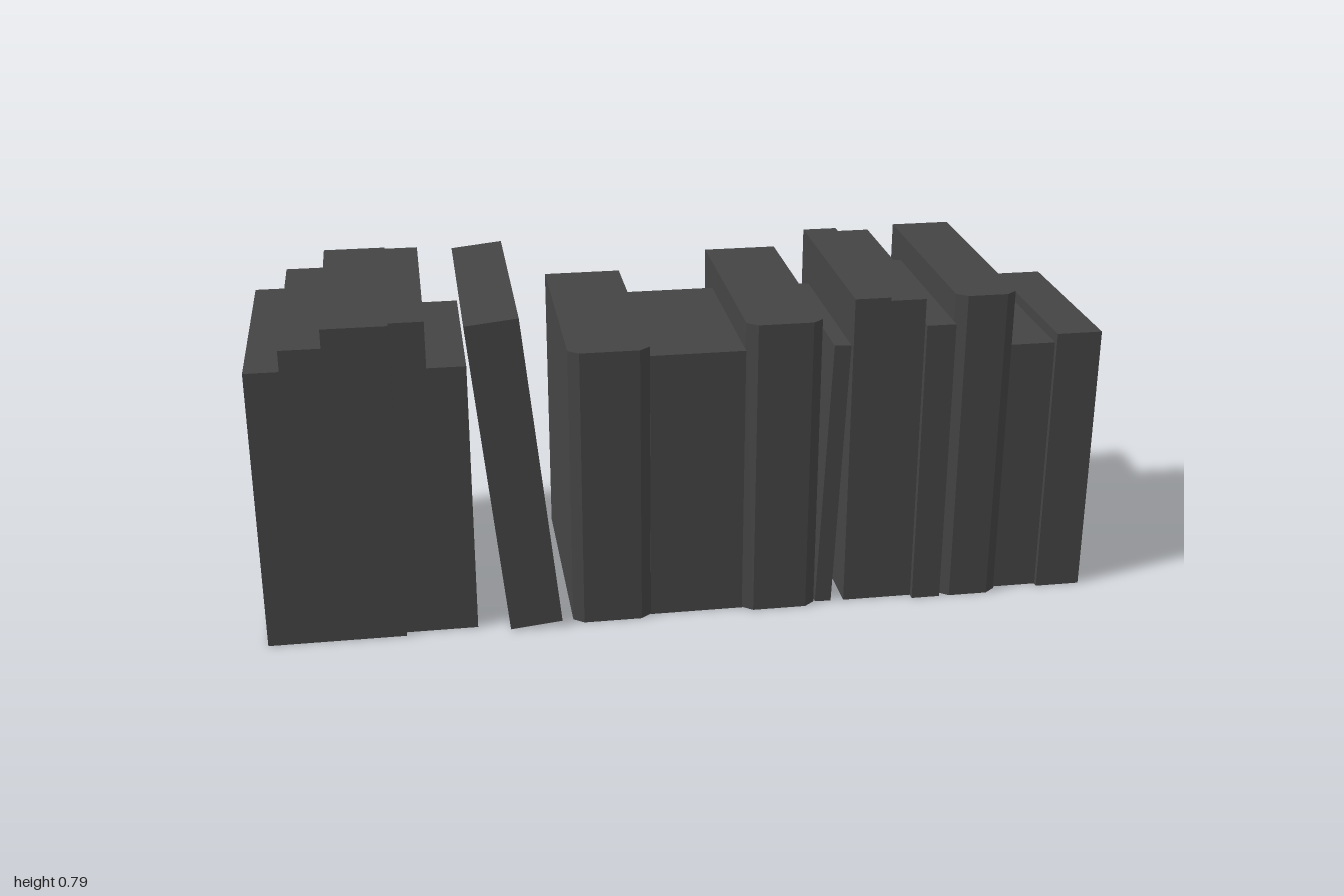
import * as THREE from 'three';

// Upright books: [left x, right x, height, back z, front z, bevelled spine]
const UPRIGHT = [
  [-1, -0.92, 0.69, -0.295, 0.285],
  [-0.92, -0.825, 0.74, -0.295, 0.285],
  [-0.825, -0.675, 0.785, -0.295, 0.285],
  [-0.675, -0.595, 0.785, -0.285, 0.268],
  [-0.595, -0.505, 0.673, -0.187, 0.268],
  [-0.275, -0.085, 0.695, -0.295, 0.285, true],
  [-0.085, 0.14, 0.673, -0.187, 0.268],
  [0.14, 0.32, 0.74, -0.295, 0.285, true],
  [0.395, 0.48, 0.785, -0.285, 0.268],
  [0.48, 0.565, 0.777, -0.285, 0.268],
  [0.565, 0.635, 0.717, -0.205, 0.285],
  [0.635, 0.78, 0.785, -0.295, 0.285, true],
  [0.78, 0.89, 0.647, -0.18, 0.257],
  [0.89, 1, 0.673, -0.187, 0.27],
];

// Leaning books: [bottom-left x, bottom-left y, width, height, back z, front z, tilt]
const LEANING = [
  [-0.428, 0.002, 0.125, 0.78, -0.287, 0.295, 0.104],
  [0.323, 0.002, 0.04, 0.672, -0.187, 0.268, -0.04],
];

const material = new THREE.MeshStandardMaterial({ color: 0x444444, flatShading: true });

// A book is its floor plan, extruded upward; its left edge is the local origin
function makeBook(name, width, height, back, front, bevelled) {
  const bx = bevelled ? 0.025 : 0;
  const bz = bevelled ? 0.02 : 0;
  const plan = new THREE.Shape();
  plan.moveTo(0, -back);
  plan.lineTo(0, -front + bz);
  if (bevelled) plan.lineTo(bx, -front);
  plan.lineTo(width - bx, -front);
  if (bevelled) plan.lineTo(width, -front + bz);
  plan.lineTo(width, -back);
  plan.closePath();
  const geometry = new THREE.ExtrudeGeometry(plan, { depth: height, bevelEnabled: false });
  geometry.rotateX(-Math.PI / 2);
  const book = new THREE.Mesh(geometry, material);
  book.name = name;
  return book;
}

export function createModel() {
  const row = new THREE.Group();
  row.name = 'bookRow';

  UPRIGHT.forEach(([x0, x1, height, back, front, bevelled], i) => {
    const book = makeBook(`uprightBook${i + 1}`, x1 - x0, height, back, front, bevelled);
    book.position.x = x0;
    row.add(book);
  });

  LEANING.forEach(([x, y, width, height, back, front, tilt], i) => {
    const book = makeBook(`leaningBook${i + 1}`, width, height, back, front, false);
    book.position.set(x, y, 0);
    book.rotation.z = tilt;
    row.add(book);
  });

  return row;
}
